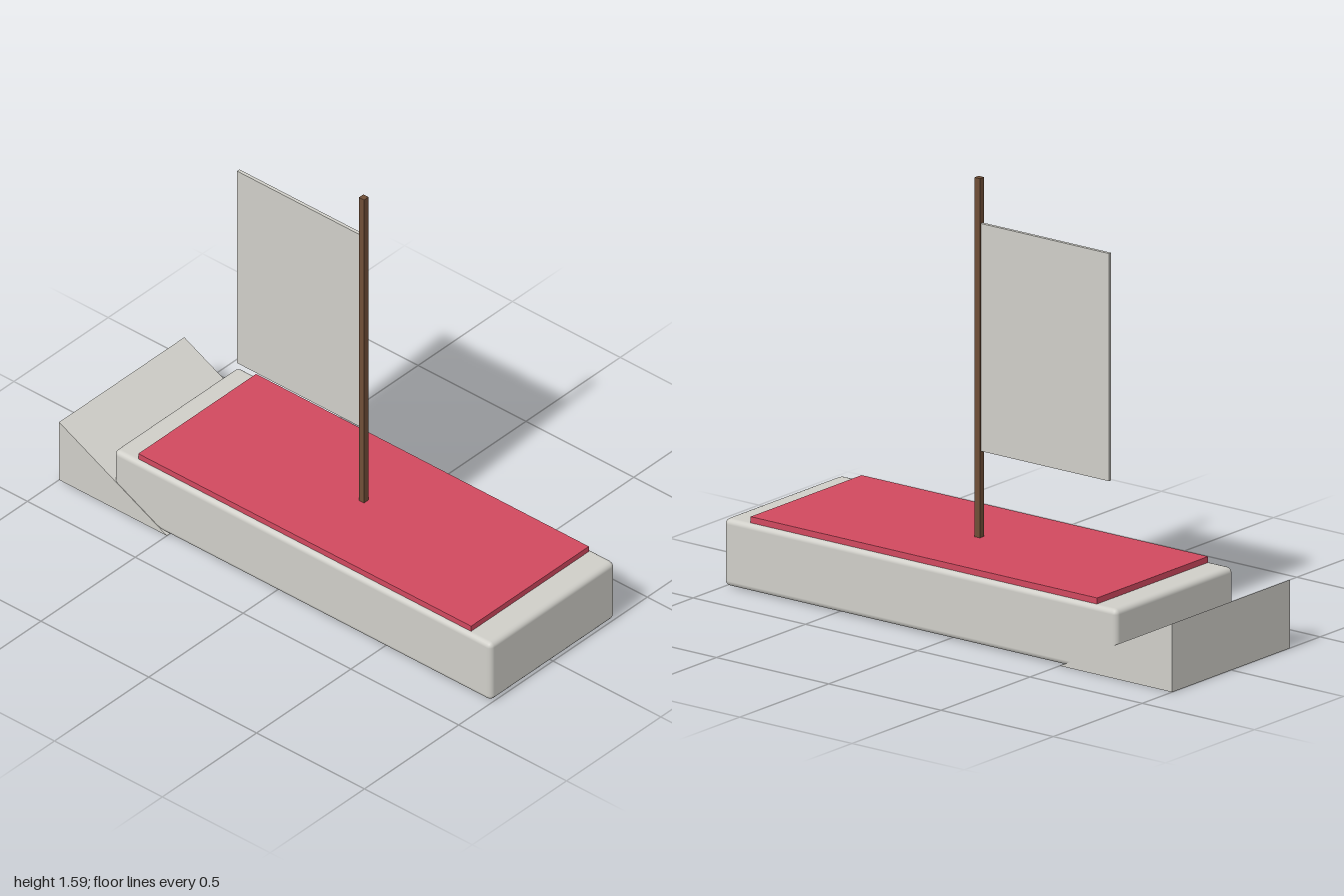
import * as THREE from 'three';
import { RoundedBoxGeometry } from 'three/addons/geometries/RoundedBoxGeometry.js';

export function createModel() {
  const model = new THREE.Group();
  model.name = 'raft';

  const material = (name, color) => {
    const m = new THREE.MeshStandardMaterial({ color });
    m.name = name;
    return m;
  };
  const paleGrey = material('pale grey', 0xcfcec8);
  const red = material('red', 0xd1495f);
  const brown = material('brown', 0x6f4e37);

  const add = (name, geometry, mat, x, y, z) => {
    const mesh = new THREE.Mesh(geometry, mat);
    mesh.name = name;
    mesh.position.set(x, y, z);
    model.add(mesh);
    return mesh;
  };

  // Box given by its extents in y and z, centred on x = 0
  const box = (name, mat, width, y0, y1, z0, z1) =>
    add(name, new THREE.BoxGeometry(width, y1 - y0, z1 - z0), mat, 0, (y0 + y1) / 2, (z0 + z1) / 2);

  // Hull with softened edges
  add('hull', new RoundedBoxGeometry(0.66, 0.246, 1.75, 2, 0.02), paleGrey, 0, 0.127, 0.125);

  // Wedge rising towards the stern; the shape's x axis becomes -z
  const profile = new THREE.Shape();
  profile.moveTo(0.5, 0);
  profile.lineTo(1, 0);
  profile.lineTo(1, 0.25);
  profile.closePath();
  const wedgeWidth = 0.664;
  const wedge = new THREE.ExtrudeGeometry(profile, { depth: wedgeWidth, bevelEnabled: false });
  wedge.translate(0, 0, -wedgeWidth / 2);
  wedge.rotateY(Math.PI / 2);
  add('sternWedge', wedge, paleGrey, 0, 0, 0);

  // Deck panel, mast and sail
  box('deck', red, 0.624, 0.24, 0.272, -0.65, 0.893);
  box('mast', brown, 0.024, 0.25, 1.585, 0.11, 0.134);
  box('sail', paleGrey, 0.013, 0.588, 1.42, -0.46, 0.115);

  return model;
}
